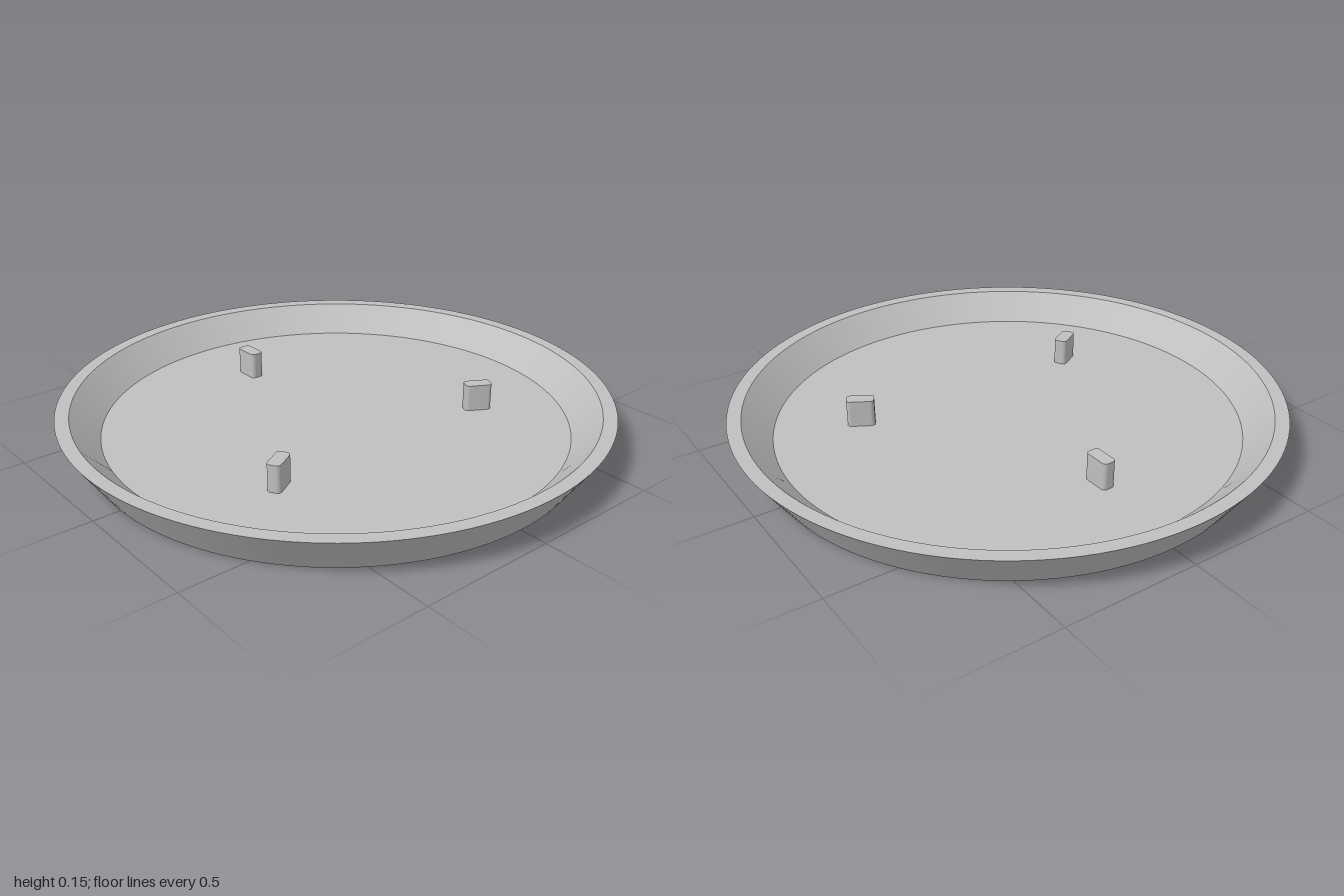
import * as THREE from 'three';

export function createModel() {
  const model = new THREE.Group();
  model.name = 'roundTray';
  const grey = new THREE.MeshStandardMaterial({ color: 0xbfbfbf });
  grey.name = 'plain grey';

  // Dish: one lathe band per profile edge, so edges stay sharp and bands smooth
  const dish = new THREE.Group();
  dish.name = 'dish';
  const floorY = 0.05, rimY = 0.15;
  const profile = [[0, 0], [0.9, 0], [1, rimY], [0.95, rimY], [0.85, floorY], [0, floorY]]
    .map(([r, y]) => new THREE.Vector2(r, y));
  ['underside', 'outerWall', 'rim', 'innerWall', 'floor'].forEach((name, i) => {
    const band = new THREE.Mesh(new THREE.LatheGeometry([profile[i], profile[i + 1]], 128), grey);
    band.name = name;
    dish.add(band);
  });
  model.add(dish);

  // Pegs: rounded rectangles with the long side pointing to the centre
  const w = 0.025, l = 0.05, r = 0.015;
  const outline = new THREE.Shape();
  outline.absarc(w - r, l - r, r, 0, Math.PI / 2);
  outline.absarc(r - w, l - r, r, Math.PI / 2, Math.PI);
  outline.absarc(r - w, r - l, r, Math.PI, Math.PI * 1.5);
  outline.absarc(w - r, r - l, r, Math.PI * 1.5, Math.PI * 2);
  const pegGeometry = new THREE.ExtrudeGeometry(outline, {
    depth: rimY - floorY, bevelEnabled: false, curveSegments: 8,
  });
  pegGeometry.rotateX(-Math.PI / 2).translate(0, floorY, -0.535);

  // Three pegs evenly spaced, the first at the back
  for (let i = 0; i < 3; i++) {
    const peg = new THREE.Mesh(pegGeometry, grey);
    peg.name = `peg${i + 1}`;
    peg.rotation.y = (i * Math.PI * 2) / 3;
    model.add(peg);
  }
  return model;
}
